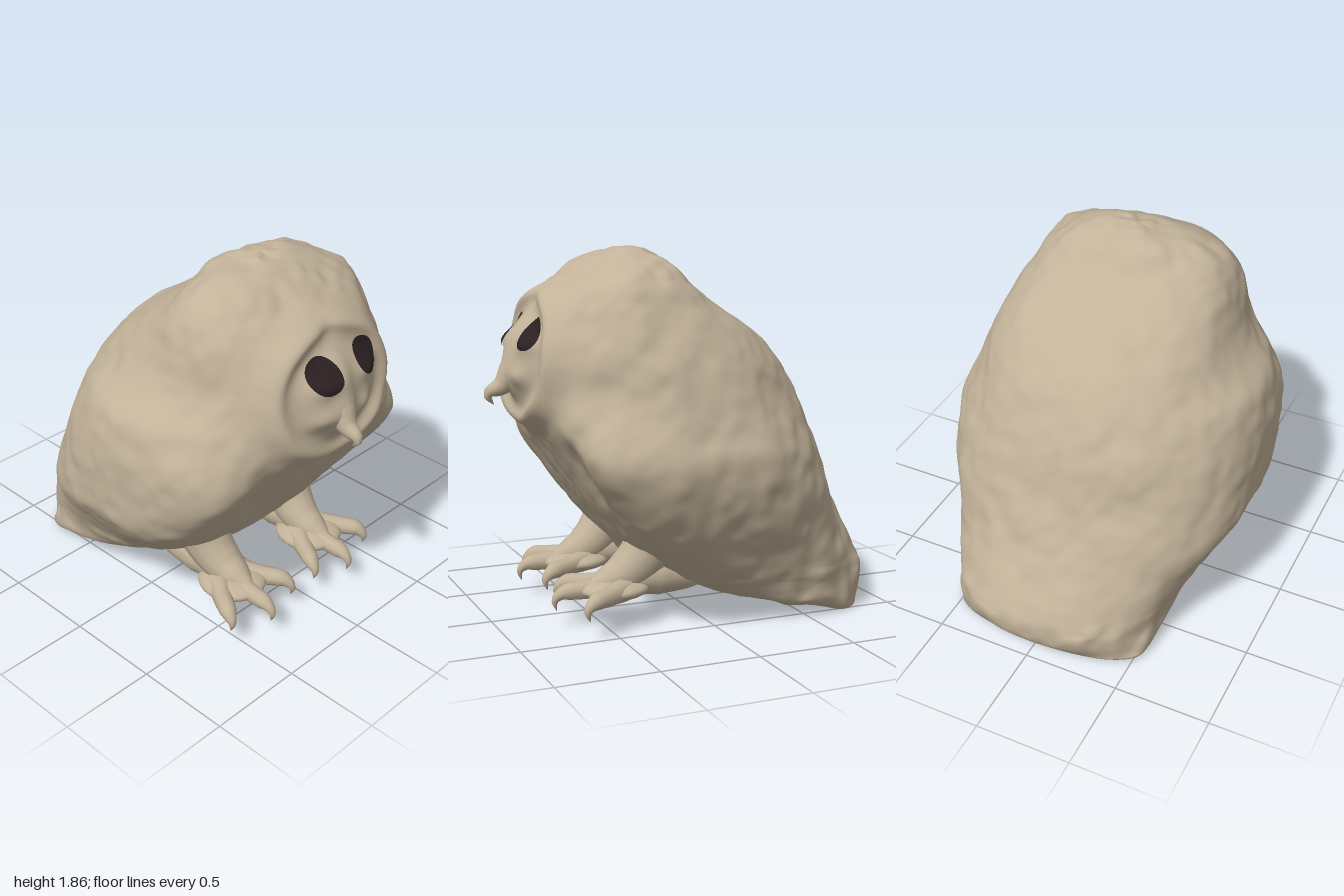
import * as THREE from 'three';
import { mergeVertices } from 'three/addons/utils/BufferGeometryUtils.js';

const plumage = new THREE.MeshStandardMaterial({ color: 0xc2b299 });
plumage.name = 'tan plumage';
const dark = new THREE.MeshStandardMaterial({ color: 0x2c2022 });
dark.name = 'dark eye';

// Horizontal body sections every 0.1 in height: back z, front z, right x, left x
const rows = [
  [-0.92, -0.52, -0.54, 0.54], [-0.98, -0.13, -0.57, 0.58], [-0.99, 0.07, -0.59, 0.60],
  [-0.95, 0.23, -0.63, 0.63], [-0.89, 0.37, -0.69, 0.67], [-0.83, 0.46, -0.76, 0.72],
  [-0.78, 0.53, -0.81, 0.76], [-0.74, 0.59, -0.82, 0.79], [-0.70, 0.65, -0.82, 0.81],
  [-0.67, 0.71, -0.82, 0.81], [-0.64, 0.77, -0.81, 0.77], [-0.60, 0.81, -0.79, 0.73],
  [-0.55, 0.82, -0.75, 0.70], [-0.49, 0.82, -0.65, 0.67], [-0.41, 0.80, -0.59, 0.63],
  [-0.28, 0.76, -0.56, 0.58], [-0.13, 0.71, -0.53, 0.53], [0.00, 0.62, -0.47, 0.47],
  [0.09, 0.47, -0.34, 0.32], [0.17, 0.36, -0.12, 0.14],
].map((r, i) => [i === 0 ? 0.025 : i === 19 ? 1.85 : i / 10, ...r]);

const { lerp, clamp, smoothstep } = THREE.MathUtils;
const gauss = (d, w) => Math.exp(-((d / w) ** 2));
const spot = (x, y, cx, cy, w, h) => gauss(x - cx, w) * gauss(y - cy, h);
const faceRadius = (x, y) => Math.hypot((x + 0.03) / 0.37, (y - 1.33) / 0.32);

// Smoothly interpolated section at row position t
function section(t) {
  const i = Math.min(Math.floor(t), rows.length - 2), f = t - i;
  const at = k => rows[clamp(k, 0, rows.length - 1)];
  return rows[0].map((_, c) => {
    const [p, q, r, s] = [at(i - 1)[c], at(i)[c], at(i + 1)[c], at(i + 2)[c]];
    return q + 0.5 * f * (r - p + f * (2 * p - 5 * q + 4 * r - s + f * (3 * (q - r) + s - p)));
  });
}

// Squareness of the front: folded wings make the belly square, the neck is round
const squareness = y => 2.4 + 1.4 * gauss(y - 0.65, 0.35) - 0.3 * gauss(y - 1.18, 0.15);

// Relief on the front: facial disc, brow, cheeks, shoulders and belly
function relief(x, y) {
  const e = faceRadius(x, y);
  let d = 0.05 * (1 - smoothstep(e, 0.9, 1.3));
  d += 0.025 * gauss(e - 1.0, 0.13) - 0.03 * gauss(e - 0.72, 0.2);
  d += 0.025 * spot(x, y, -0.04, 1.4, 0.06, 0.16);
  d += 0.03 * spot(x, y, -0.05, 1.24, 0.08, 0.1);
  d -= 0.02 * spot(x, y, -0.03, 1.62, 0.06, 0.06);
  d += 0.09 * spot(x, y, -0.04, 0.24, 0.42, 0.11);
  for (const s of [-1, 1]) {
    d += 0.03 * spot(x, y, 0.01 + s * 0.15, 1.41, 0.08, 0.05);
    d += 0.025 * spot(x, y, -0.04 + s * 0.14, 1.24, 0.07, 0.05);
    d += 0.07 * spot(x, y, s * 0.64, 0.86, 0.16, 0.2);
    d -= 0.03 * spot(x, y, s * 0.38, 0.75, 0.1, 0.2);
  }
  return d;
}

// Lattice noise for the uneven feather surface
const hash = (i, j, k) => {
  const h = Math.sin(i * 127.1 + j * 311.7 + k * 74.7) * 43758.5453;
  return (h - Math.floor(h)) * 2 - 1;
};
function noise(...p) {
  const c = p.map(Math.floor), f = p.map((v, i) => smoothstep(v - c[i], 0, 1));
  let sum = 0;
  for (let n = 0; n < 8; n++) {
    const b = [n & 1, (n >> 1) & 1, n >> 2];
    sum += hash(...c.map((v, i) => v + b[i])) * b.reduce((w, on, i) => w * (on ? f[i] : 1 - f[i]), 1);
  }
  return sum;
}
const ruffle = (x, y, z) => 0.012 * noise(x * 7, y * 6, z * 7) + 0.007 * noise(x * 15, y * 13, z * 15);

function bodyPoint(t, angle) {
  const [y, zb, zf, xr, xl] = section(t);
  const c = Math.cos(angle), s = Math.sin(angle), n = s > 0 ? squareness(y) : 2.15;
  const r = (Math.abs(c) ** n + Math.abs(s) ** n) ** (-1 / n);
  const x = r * c * (c > 0 ? xl : -xr), z = (zb + zf) / 2 + r * s * (zf - zb) / 2;
  const onFace = s > 0 ? smoothstep(faceRadius(x, y), 1.0, 1.3) : 1;
  const w = ruffle(x, y, z) * onFace * (y < 0.25 ? 1.5 : 1);
  const dz = s > 0 ? relief(x, y) * Math.min(1, s * 3) : 0;
  return new THREE.Vector3(x + c * w, y + (y > 1.7 || y < 0.2 ? w : 0), z + s * w + dz);
}

// Height of the face surface toward the front
function frontZ(x, y) {
  const [, zb, zf, xr, xl] = section(y * 10), n = squareness(y);
  const q = Math.abs(x / (x > 0 ? xl : xr)) ** n;
  return (zb + zf) / 2 + (1 - q) ** (1 / n) * (zf - zb) / 2 + relief(x, y);
}

function bodyGeometry() {
  const nu = 200, nv = 130, cap = 8, pos = [], idx = [];
  for (let j = -cap; j <= nv + cap; j++) {
    const t = clamp(j / nv, 0, 1) * (rows.length - 1);
    const [y, zb, zf] = section(t);
    // Closing rings shrink toward the middle of the crown and of the tail's underside
    const beyond = Math.max(-j, j - nv, 0), shrink = 1 - beyond / cap;
    for (let k = 0; k < nu; k++) {
      const p = bodyPoint(t, k / nu * Math.PI * 2);
      if (beyond) {
        p.lerp(new THREE.Vector3(0, j < 0 ? y : y + 0.015, (zb + zf) / 2), 1 - shrink);
        p.y += 4 * shrink * (1 - shrink) * ruffle(p.x * 2, p.y, p.z * 2);
      }
      pos.push(p.x, Math.max(0, p.y), p.z);
    }
  }
  for (let j = 0; j < nv + 2 * cap; j++) for (let k = 0; k < nu; k++) {
    const a = j * nu + k, b = j * nu + (k + 1) % nu;
    idx.push(a, a + nu, b, b, a + nu, b + nu);
  }
  const g = new THREE.BufferGeometry();
  g.setAttribute('position', new THREE.Float32BufferAttribute(pos, 3));
  g.setIndex(idx);
  g.computeVertexNormals();
  return g;
}

// Tube along a curve with radii spread evenly over its length
function taper(points, radii, sides = 14, steps = 24) {
  const curve = new THREE.CatmullRomCurve3(points.map(p => new THREE.Vector3(...p)));
  let g = new THREE.TubeGeometry(curve, steps, 1, sides);
  const p = g.attributes.position, v = new THREE.Vector3();
  for (let i = 0; i <= steps; i++) {
    const c = curve.getPointAt(i / steps), f = i / steps * (radii.length - 1);
    const k = Math.min(Math.floor(f), radii.length - 2);
    const r = lerp(radii[k], radii[k + 1], f - k);
    for (let j = 0; j <= sides; j++) {
      const m = i * (sides + 1) + j;
      v.fromBufferAttribute(p, m).sub(c).multiplyScalar(r).add(c);
      p.setXYZ(m, v.x, v.y, v.z);
    }
  }
  g.deleteAttribute('uv');
  g.deleteAttribute('normal');
  g = mergeVertices(g, 1e-5);
  g.computeVertexNormals();
  return g;
}

export function createModel() {
  const model = new THREE.Group();
  const add = (name, geometry, material = plumage, parent = model) => {
    const mesh = new THREE.Mesh(geometry, material);
    mesh.name = name;
    parent.add(mesh);
    return mesh;
  };

  add('body', bodyGeometry());

  // Hooked beak
  add('beak', taper([[-0.035, 1.44, 0.79], [-0.04, 1.29, 0.83], [-0.055, 1.19, 0.9], [-0.06, 1.145, 0.975], [-0.06, 1.09, 0.945]],
    [0.02, 0.06, 0.08, 0.07, 0.048, 0.028, 0]));

  // Eye discs hugging the face
  for (const [name, cx, r] of [['rightEye', -0.145, 0.083], ['leftEye', 0.155, 0.08]]) {
    const g = new THREE.RingGeometry(0.001, r, 32, 8), p = g.attributes.position;
    for (let i = 0; i < p.count; i++) {
      const x = p.getX(i) + cx, y = p.getY(i) + 1.455;
      p.setXYZ(i, x, y, frontZ(x, y) + 0.009);
    }
    g.computeVertexNormals();
    add(name, g, dark);
  }

  // Legs, feet, toes and claws
  for (const [side, cx, out] of [['right', -0.34, -1], ['left', 0.25, 1]]) {
    const foot = new THREE.Group();
    foot.name = side + 'Leg';
    foot.position.x = cx;
    model.add(foot);
    add('shank', taper([[out * 0.02, 0.5, 0.2], [out * 0.01, 0.35, 0.28], [0, 0.25, 0.39], [0, 0.19, 0.57]],
      [0.12, 0.135, 0.12, 0.105, 0.08, 0.03]), plumage, foot);
    add('heel', taper([[0, 0.2, -0.12], [0, 0.22, 0.1], [0, 0.23, 0.28], [0, 0.19, 0.52]],
      [0.03, 0.08, 0.105, 0.09, 0.03]), plumage, foot);
    const palm = add('palm', new THREE.SphereGeometry(1, 24, 16), plumage, foot);
    palm.position.set(0, 0.185, 0.44);
    palm.scale.set(0.17, 0.055, 0.18);
    for (const [name, x, tz] of [['outerToe', out * 0.21, 0.63], ['middleToe', -0.02, 0.72], ['innerToe', out * -0.2, 0.65]]) {
      add(name, taper([[x * 0.3, 0.19, 0.4], [x * 0.7, 0.185, tz - 0.11], [x * 0.95, 0.18, tz - 0.02],
        [x * 1.02, 0.145, tz + 0.02], [x * 1.03, 0.09, tz + 0.01]],
        [0.06, 0.057, 0.05, 0.047, 0.043, 0.022, 0], 10), plumage, foot);
    }
  }
  return model;
}
